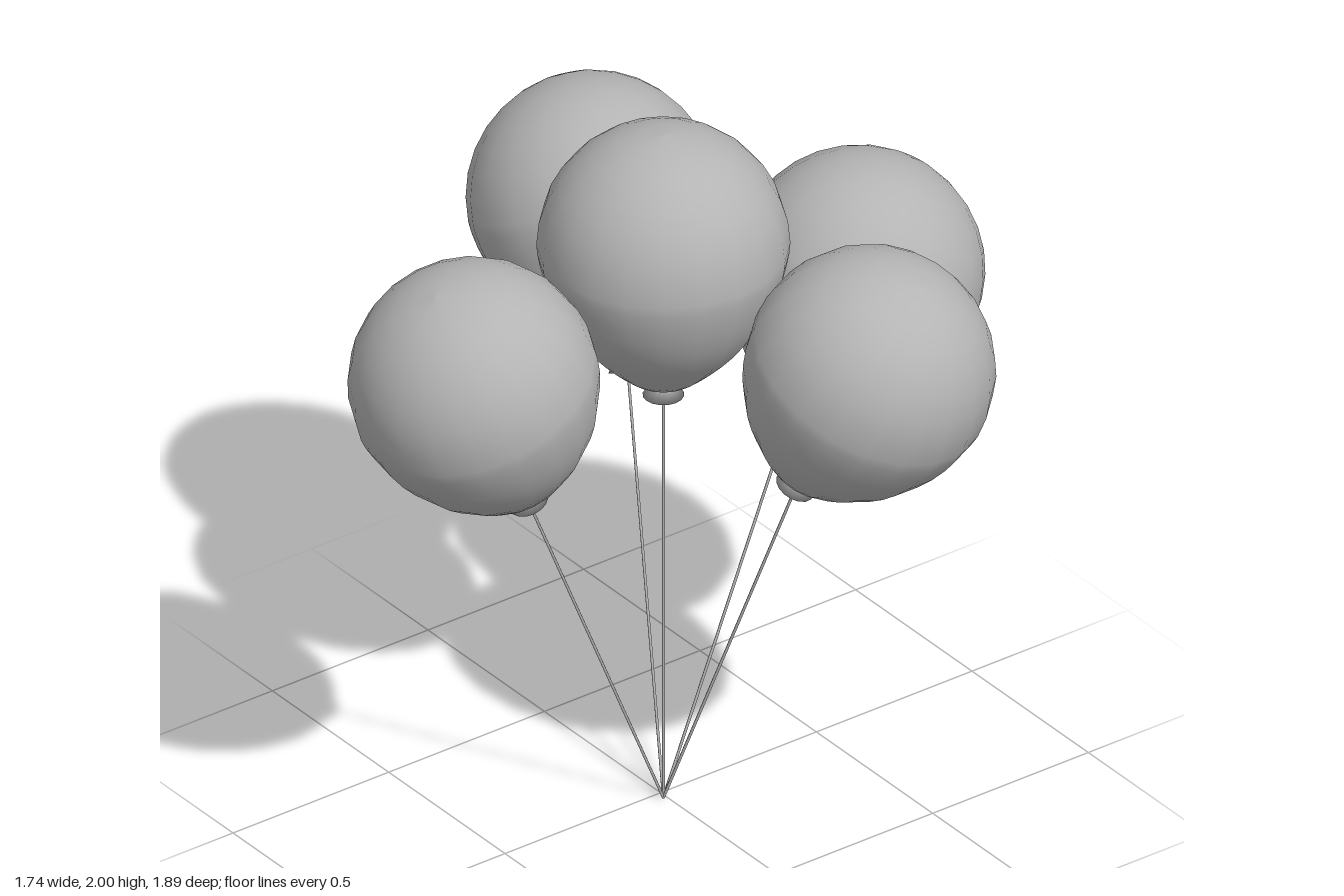
import * as THREE from 'three';

export function createModel() {
  const model = new THREE.Group();
  model.name = 'balloonBunch';
  const rubber = new THREE.MeshStandardMaterial({ color: 0xb4b4b4, side: THREE.DoubleSide });
  rubber.name = 'balloon grey';

  const R = 0.327; // balloon radius
  const tie = new THREE.Vector3(0.025, 0, 0.01); // where all strings meet
  const up = new THREE.Vector3(0, 1, 0);

  // Balloon profile around its centre: tapered underside, then a round dome
  const lower = new THREE.SplineCurve([
    [0.022, -0.43], [0.08, -0.402], [0.13, -0.363], [0.192, -0.3],
    [0.248, -0.23], [0.291, -0.15], [0.32, -0.06], [R, 0],
  ].map(([x, y]) => new THREE.Vector2(x, y))).getPoints(12);
  const dome = [];
  for (let i = 1; i <= 8; i++) {
    const a = (i / 8) * Math.PI / 2;
    dome.push(new THREE.Vector2(i === 8 ? 0 : R * Math.cos(a), R * Math.sin(a)));
  }
  const bodyGeometry = new THREE.LatheGeometry([...lower, ...dome], 20);

  // Flared lip below the body, open underneath
  const lipGeometry = new THREE.LatheGeometry([
    new THREE.Vector2(0.004, -0.432),
    new THREE.Vector2(0.054, -0.456),
    new THREE.Vector2(0.022, -0.424),
  ], 16);

  // Centre of each balloon and the point where its neck is tied
  const balloons = [
    ['centre', [0.025, 1.673, 0.01], [0.025, 1.24, 0.01]],
    ['front', [0.025, 1.475, 0.618], [0.025, 1.08, 0.455]],
    ['back', [0.025, 1.358, -0.618], [0.025, 0.99, -0.39]],
    ['left', [0.543, 1.443, -0.265], [0.367, 1.06, -0.17]],
    ['right', [-0.547, 1.46, -0.19], [-0.352, 1.075, -0.155]],
  ];

  for (const [name, c, n] of balloons) {
    const centre = new THREE.Vector3(...c);
    const neck = new THREE.Vector3(...n);

    // Body and lip lean along the line from neck to centre
    const balloon = new THREE.Group();
    balloon.name = name + 'Balloon';
    balloon.position.copy(centre);
    balloon.quaternion.setFromUnitVectors(up, centre.clone().sub(neck).normalize());
    const body = new THREE.Mesh(bodyGeometry, rubber);
    body.name = name + 'Body';
    const lip = new THREE.Mesh(lipGeometry, rubber);
    lip.name = name + 'Lip';
    balloon.add(body, lip);

    // Straight string from the shared tie point to the neck
    const span = neck.clone().sub(tie);
    const string = new THREE.Mesh(
      new THREE.CylinderGeometry(0.004, 0.004, span.length(), 6), rubber);
    string.name = name + 'String';
    string.position.copy(tie).addScaledVector(span, 0.5);
    string.quaternion.setFromUnitVectors(up, span.clone().normalize());
    model.add(balloon, string);
  }
  return model;
}
